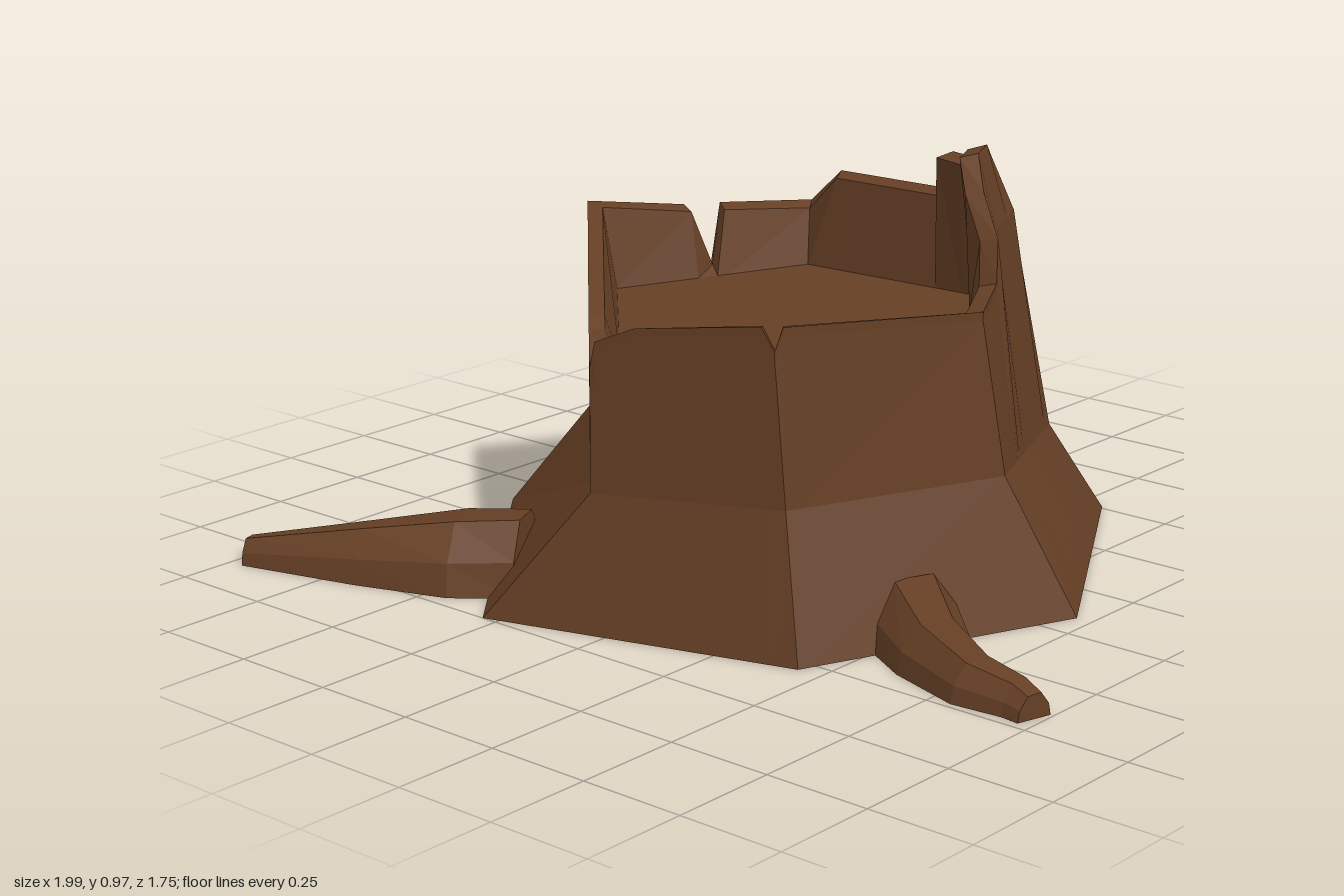
import * as THREE from 'three';

const bark = new THREE.MeshStandardMaterial({ color: 0x663f25, flatShading: true });
bark.name = 'barkBrown';

// Six corners of the trunk at the ground, above the flare and near the rim: x, y, z
const BASE = [[-0.83, 0, 0.12], [-0.29, 0, 0.75], [0.44, 0, 0.54], [0.71, 0, -0.09], [0.31, 0, -0.76], [-0.52, 0, -0.68]];
const FLARE = [[-0.59, 0.28, 0.09], [-0.08, 0.30, 0.62], [0.36, 0.32, 0.485], [0.57, 0.32, -0.005], [0.30, 0.26, -0.545], [-0.365, 0.27, -0.5]];
const TOP = [[-0.585, 0.7, 0.09], [-0.08, 0.7, 0.615], [0.335, 0.7, 0.49], [0.53, 0.7, 0.03], [0.28, 0.7, -0.49], [-0.36, 0.7, -0.46]];
const FLOOR_Y = 0.58;

// Broken rim: position around the six sides, height, inward lean
const RIM = [
  [0, 0.78, 0], [0.9, 0.68, 0], [0.96, 0.66, 0], [1, 0.58, 0], [1.03, 0.64, 0], [1.25, 0.68, 0],
  [1.93, 0.715, 0], [2, 0.665, 0], [2.04, 0.715, 0], [3, 0.69, 0], [3.26, 0.715, 0],
  [3.31, 0.81, 0.01], [3.42, 0.9, 0.1], [3.55, 0.97, 0.15], [3.75, 0.97, 0.15], [3.9, 0.92, 0.15],
  [4, 0.915, 0.22], [4.17, 0.92, 0.2], [4.31, 0.81, 0.05], [4.85, 0.81, 0.04], [5, 0.72, 0],
  [5.42, 0.74, 0], [5.48, 0.53, 0], [5.58, 0.745, 0],
];

// Skin a stack of equal rings, with optional end caps
function loft(name, rings, capStart, capEnd) {
  const pos = [];
  const tri = (a, b, c) => pos.push(...a, ...b, ...c);
  const n = rings[0].length;
  for (let k = 0; k < rings.length - 1; k++) {
    for (let i = 0; i < n; i++) {
      const j = (i + 1) % n, lo = rings[k], hi = rings[k + 1];
      tri(lo[i], lo[j], hi[j]);
      tri(lo[i], hi[j], hi[i]);
    }
  }
  const cap = (ring, flip) => {
    const c = [0, 1, 2].map((a) => ring.reduce((s, p) => s + p[a], 0) / n);
    ring.forEach((p, i) => {
      const q = ring[(i + 1) % n];
      if (flip) tri(c, q, p); else tri(c, p, q);
    });
  };
  if (capStart) cap(rings[0], true);
  if (capEnd) cap(rings[rings.length - 1], false);
  const geo = new THREE.BufferGeometry();
  geo.setAttribute('position', new THREE.Float32BufferAttribute(pos, 3));
  geo.computeVertexNormals();
  const mesh = new THREE.Mesh(geo, bark);
  mesh.name = name;
  return mesh;
}

// Point on a six-cornered outline
function onOutline(corners, t) {
  const i = Math.floor(t), f = t - i;
  const a = corners[i % 6], b = corners[(i + 1) % 6];
  return a.map((v, k) => v + (b[k] - v) * f);
}

// Point on the top outline, pulled inward and set to a height
function topPoint(t, y, pull) {
  const [x, , z] = onOutline(TOP, t);
  return [x + (-0.03 - x) * pull, y, z + (0.04 - z) * pull];
}

// Root: stations of x, z, half width, height, skinned with a faceted arch
function root(name, stations) {
  const arch = [[1, 0], [0.88, 0.5], [0.4, 1], [-0.4, 0.95], [-0.88, 0.45], [-1, 0]];
  const rings = stations.map(([x, z, w, h], i) => {
    const a = stations[Math.max(i - 1, 0)], b = stations[Math.min(i + 1, stations.length - 1)];
    const dx = b[0] - a[0], dz = b[1] - a[1], len = Math.hypot(dx, dz);
    return arch.map(([u, v]) => [x + (dz / len) * w * u, h * v, z - (dx / len) * w * u]);
  });
  return loft(name, rings, true, true);
}

export function createModel() {
  const group = new THREE.Group();
  group.name = 'treeStump';

  // Flared trunk with a jagged, hollowed rim
  const floorRing = RIM.map(([t]) => topPoint(t, FLOOR_Y, 0.15));
  group.add(loft('trunk', [
    RIM.map(([t]) => onOutline(BASE, t)),
    RIM.map(([t]) => onOutline(FLARE, t)),
    RIM.map(([t, y, lean]) => topPoint(t, Math.min(y, 0.82) - 0.02, lean * 0.4)),
    RIM.map(([t, y, lean]) => topPoint(t, y, lean)),
    RIM.map(([t, y, lean]) => topPoint(t, Math.max(y - 0.01, FLOOR_Y + 0.02), lean + 0.08)),
    floorRing,
  ], true, false));

  // Flat wood inside the rim
  group.add(loft('cutWood', [floorRing], false, true));

  // Three spreading roots
  group.add(root('frontRightRoot', [
    [-0.39, 0.51, 0.13, 0.16], [-0.52, 0.585, 0.15, 0.15], [-0.71, 0.7, 0.1, 0.115], [-0.98, 0.825, 0.045, 0.057]]));
  group.add(root('frontLeftRoot', [
    [0.52, 0.25, 0.11, 0.15], [0.66, 0.35, 0.09, 0.11], [0.82, 0.42, 0.068, 0.085],
    [0.93, 0.425, 0.05, 0.068], [0.98, 0.44, 0.042, 0.055]]));
  group.add(root('backRoot', [
    [-0.44, -0.46, 0.15, 0.27], [-0.44, -0.64, 0.155, 0.18], [-0.48, -0.745, 0.145, 0.14], [-0.545, -0.835, 0.09, 0.065]]));

  return group;
}
